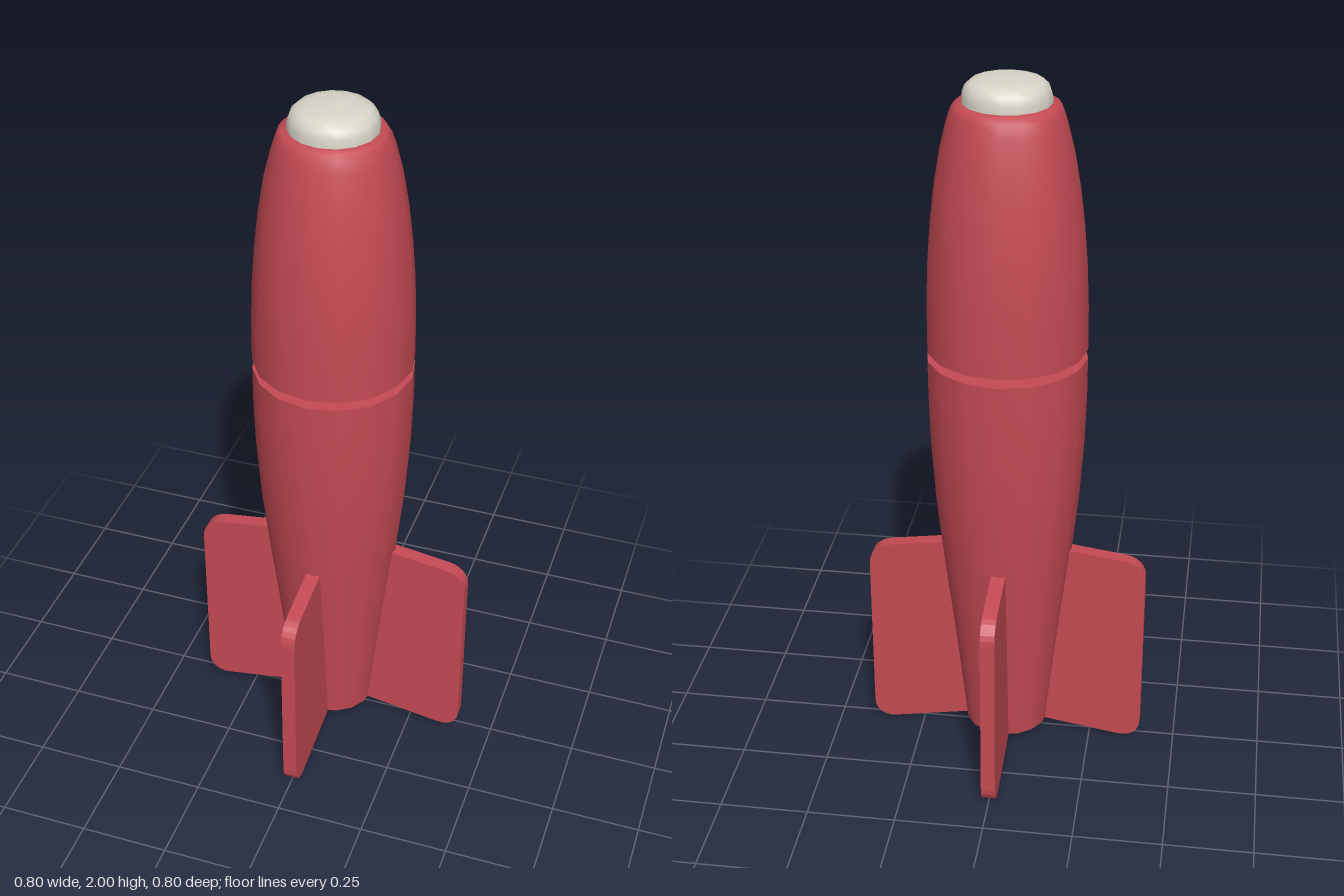
import * as THREE from 'three';

const SIDES = 16;

export function createModel() {
  const red = new THREE.MeshStandardMaterial({ color: 0xc44a53 });
  red.name = 'red';
  const ivory = new THREE.MeshStandardMaterial({ color: 0xd8d4c8 });
  ivory.name = 'ivory';

  const model = new THREE.Group();
  model.name = 'rocket';

  // Turned part: each profile is smooth in itself, with a sharp edge between profiles
  function turned(name, material, ...profiles) {
    const part = new THREE.Group();
    part.name = name;
    for (const profile of profiles) {
      const points = profile.map(([r, y]) => new THREE.Vector2(r, y));
      const mesh = new THREE.Mesh(new THREE.LatheGeometry(points, SIDES), material);
      mesh.name = name + 'Surface';
      part.add(mesh);
    }
    model.add(part);
  }

  // Tapered lower body with flat ends
  turned('lowerBody', red,
    [[0, 0.04], [0.12, 0.04]],
    [[0.12, 0.04], [0.137, 0.2], [0.159, 0.4], [0.183, 0.6], [0.204, 0.8],
      [0.216, 0.98], [0.22, 1.12], [0.22, 1.23]],
    [[0.22, 1.23], [0, 1.23]]);

  // Recessed ring between the two body halves
  turned('joint', ivory, [[0.165, 1.22], [0.165, 1.265]]);

  // Upper body, curving in to a rounded rim
  turned('upperBody', red,
    [[0, 1.255], [0.22, 1.255]],
    [[0.22, 1.255], [0.219, 1.38], [0.214, 1.5], [0.205, 1.61], [0.193, 1.71],
      [0.176, 1.81], [0.157, 1.885], [0.146, 1.917], [0.136, 1.931], [0.118, 1.935]],
    [[0.118, 1.935], [0, 1.935]]);

  // Domed nose cap
  turned('noseCap', ivory,
    [[0.118, 1.93], [0.117, 1.955], [0.11, 1.975], [0.095, 1.989], [0.065, 1.997], [0, 2]]);

  // Four fins with rounded outer corners
  const outline = new THREE.Shape();
  outline.moveTo(0.1, 0.042);
  outline.lineTo(0.335, 0.003);
  outline.bezierCurveTo(0.37, -0.003, 0.4, 0.015, 0.4, 0.055);
  outline.lineTo(0.4, 0.54);
  outline.bezierCurveTo(0.4, 0.575, 0.375, 0.601, 0.34, 0.606);
  outline.lineTo(0.17, 0.63);
  outline.closePath();
  const finGeometry = new THREE.ExtrudeGeometry(outline, {
    depth: 0.04, bevelEnabled: false, curveSegments: 6,
  });
  finGeometry.translate(0, 0, -0.02);
  ['leftFin', 'backFin', 'rightFin', 'frontFin'].forEach((name, i) => {
    const fin = new THREE.Mesh(finGeometry, red);
    fin.name = name;
    fin.rotation.y = i * Math.PI / 2;
    model.add(fin);
  });

  return model;
}
